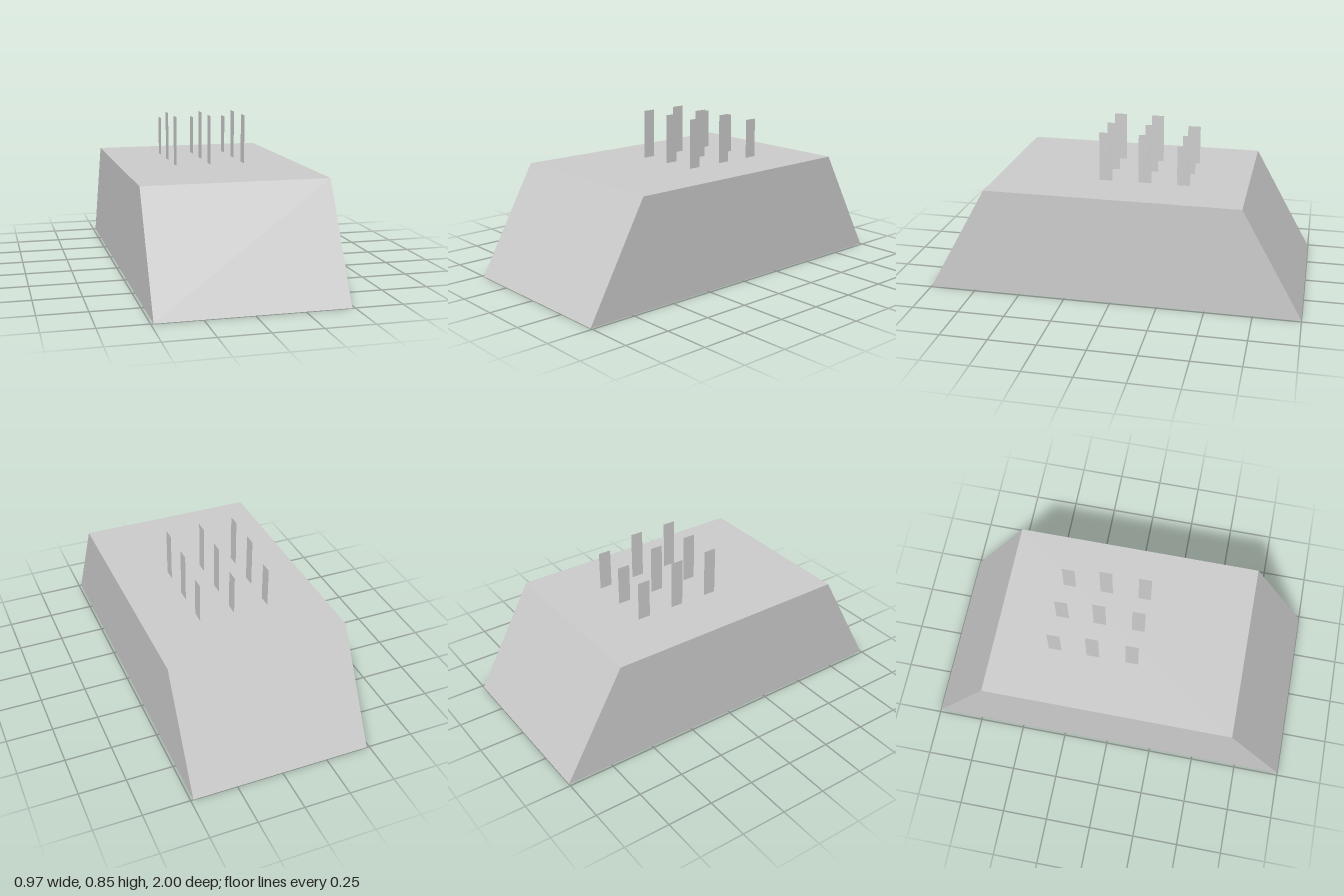
import * as THREE from 'three';

const grey = new THREE.MeshStandardMaterial({ color: 0xcccccc, side: THREE.DoubleSide });
grey.name = 'plain grey';

const HALF_W = 0.486, HEIGHT = 0.58, BASE_Z = 1, TOP_Z = 0.675;

// flat panel from four corners, anticlockwise seen from outside
function panel(name, a, b, c, d) {
  const g = new THREE.BufferGeometry();
  g.setAttribute('position', new THREE.Float32BufferAttribute([a, b, c, a, c, d].flat(), 3));
  g.computeVertexNormals();
  const m = new THREE.Mesh(g, grey);
  m.name = name;
  return m;
}

export function createModel() {
  const model = new THREE.Group();
  model.name = 'slopedBlockWithPosts';

  // hollow body, open underneath: two sloped ends, two upright sides, a flat roof
  const body = new THREE.Group();
  body.name = 'body';
  const base = (sx, sz) => [sx * HALF_W, 0, sz * BASE_Z];
  const top = (sx, sz) => [sx * HALF_W, HEIGHT, sz * TOP_Z];
  body.add(
    panel('frontSlope', base(-1, 1), base(1, 1), top(1, 1), top(-1, 1)),
    panel('backSlope', base(1, -1), base(-1, -1), top(-1, -1), top(1, -1)),
    panel('leftSide', base(1, 1), base(1, -1), top(1, -1), top(1, 1)),
    panel('rightSide', base(-1, -1), base(-1, 1), top(-1, 1), top(-1, -1)),
    panel('roof', top(-1, 1), top(1, 1), top(1, -1), top(-1, -1))
  );
  model.add(body);

  // three rows of thin upright posts, the rear row shorter
  const posts = new THREE.Group();
  posts.name = 'posts';
  const rows = [{ z: 0.083, y: 0.845 }, { z: -0.13, y: 0.845 }, { z: -0.337, y: 0.795 }];
  const foot = HEIGHT - 0.01;
  for (const { z, y } of rows) {
    for (const x of [-0.183, 0.007, 0.197]) {
      const post = new THREE.Mesh(new THREE.PlaneGeometry(0.07, y - foot), grey);
      post.name = 'post';
      post.rotation.y = Math.PI / 2;
      post.position.set(x, (y + foot) / 2, z);
      posts.add(post);
    }
  }
  model.add(posts);
  return model;
}
